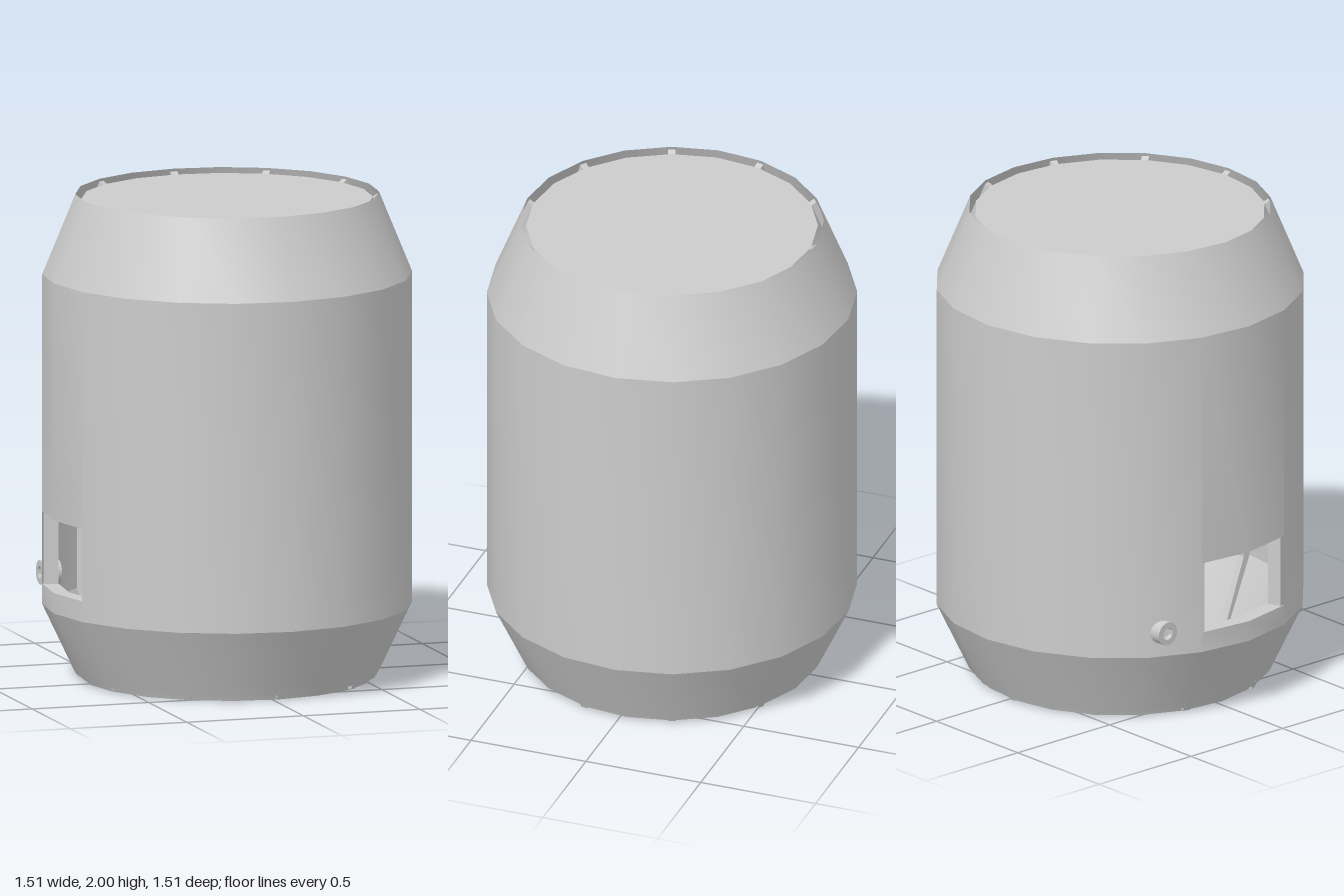
import * as THREE from 'three';
import { mergeGeometries, toCreasedNormals } from 'three/addons/utils/BufferGeometryUtils.js';

const rad = THREE.MathUtils.degToRad;
const FACET = 18, START = 2.7;            // 20 facets, slightly turned
const OPEN = START + 14 * FACET;          // the opening spans two facets
const SILL = 0.39, LINTEL = 0.69;

// Lathe around y; angles in degrees from +z towards +x
function turned(profile, from, facets) {
  const pts = profile.map(([r, y]) => new THREE.Vector2(r, y));
  return new THREE.LatheGeometry(pts, facets, rad(from), rad(facets * FACET));
}

// Full turned wall with a rectangular opening two facets wide
function wallWithOpening(lower, upper) {
  const r = lower[lower.length - 1][0];
  return toCreasedNormals(mergeGeometries([
    turned([...lower, ...upper], OPEN + 2 * FACET, 18),
    turned([...lower, [r, SILL]], OPEN, 2),
    turned([[r, LINTEL], ...upper], OPEN, 2),
  ]), 0.36);
}

export function createModel() {
  const group = new THREE.Group();
  const material = new THREE.MeshStandardMaterial({ color: 0xcccccc, side: THREE.DoubleSide });
  const add = (name, geometry, parent = group) => {
    const mesh = new THREE.Mesh(geometry, material);
    mesh.name = name;
    parent.add(mesh);
    return mesh;
  };

  // Outer shell, open at both ends
  add('outerShell', wallWithOpening([[0.62, 0.02], [0.755, 0.305]], [[0.755, 1.67], [0.62, 2]]));

  // Inner liner with flat floor and lid
  add('innerLiner', wallWithOpening(
    [[0, 0], [0.595, 0], [0.725, 0.3]], [[0.725, 1.67], [0.595, 1.98], [0, 1.98]]));

  // Sill and lintel closing the gap between shell and liner
  add('openingSill', turned([[0.755, SILL], [0.69, SILL]], OPEN, 2));
  add('openingLintel', turned([[0.69, LINTEL], [0.755, LINTEL]], OPEN, 2));

  // Ribs between shell and liner, at every second corner
  const ribs = new THREE.Group();
  ribs.name = 'ribs';
  group.add(ribs);
  const ribShape = new THREE.Shape([
    [0.612, 0.006], [0.748, 0.305], [0.748, 1.67], [0.614, 1.99],
    [0.58, 1.97], [0.69, 1.67], [0.69, 0.3], [0.58, 0.01],
  ].map(([x, y]) => new THREE.Vector2(x, y)));
  const ribGeometry = new THREE.ExtrudeGeometry(ribShape, { depth: 0.03, bevelEnabled: false });
  ribGeometry.translate(0, 0, -0.015);
  for (let i = 0; i < 10; i++) {
    add('rib', ribGeometry, ribs).rotation.y = rad(START + i * 2 * FACET - 90);
  }

  // Short hollow spout beside the opening
  const ring = new THREE.Shape().absarc(0, 0, 0.05, 0, Math.PI * 2);
  ring.holes.push(new THREE.Path().absarc(0, 0, 0.025, 0, Math.PI * 2, true));
  const spout = add('spout', toCreasedNormals(
    new THREE.ExtrudeGeometry(ring, { depth: 0.08, bevelEnabled: false, curveSegments: 10 }), 0.7));
  spout.rotation.y = -Math.PI / 2;
  spout.position.set(-0.61, 0.41, -0.35);

  return group;
}
